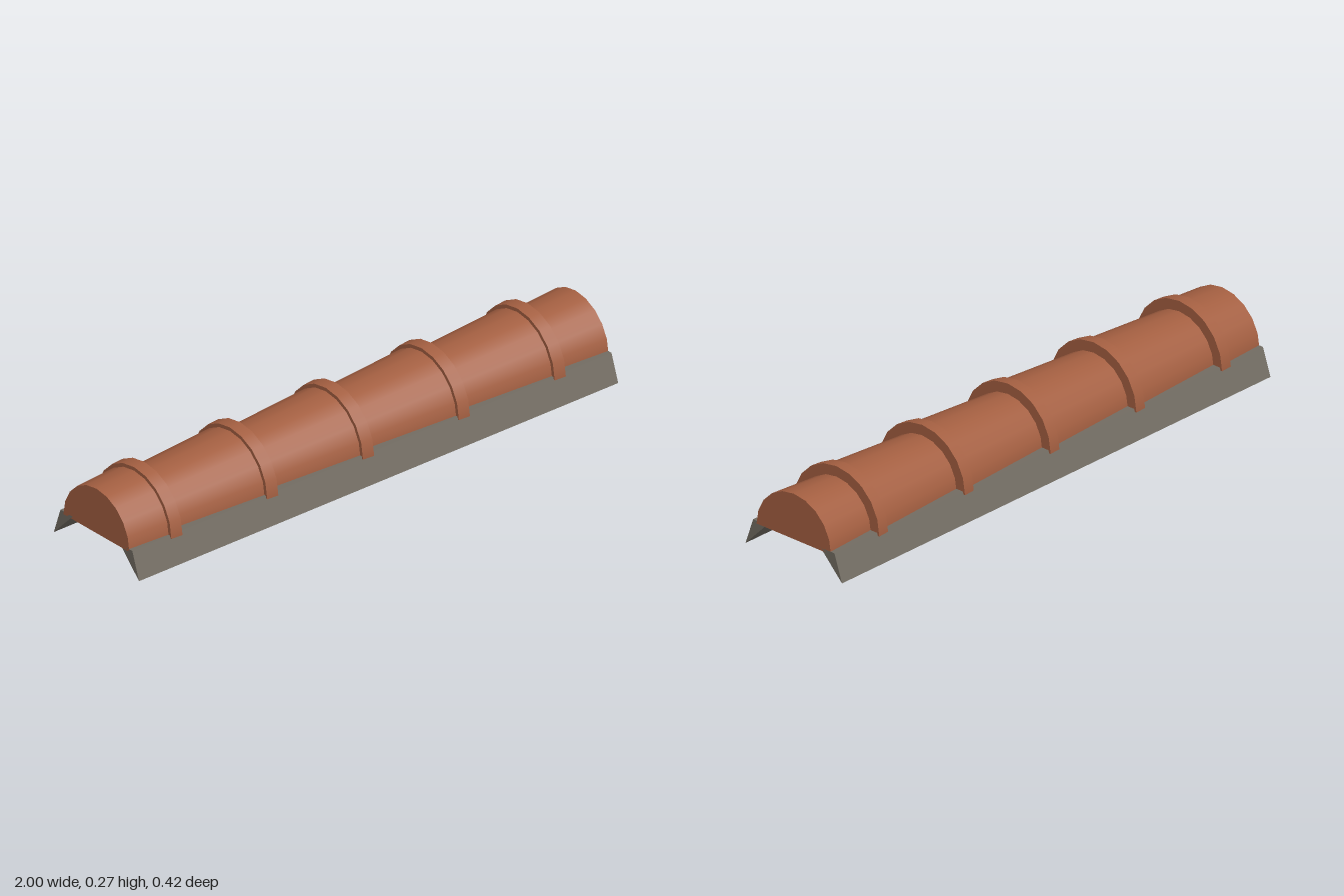
import * as THREE from 'three';

const BASE_Y = 0.086;

export function createModel() {
  const clay = new THREE.MeshStandardMaterial({ color: 0xa45f41 });
  clay.name = 'terracotta';
  const mortar = new THREE.MeshStandardMaterial({ color: 0x726c62 });
  mortar.name = 'grey mortar';

  const model = new THREE.Group();
  model.name = 'roofRidge';

  // Closed half cone lying along x, radius r0 at x0 and r1 at x1
  function halfCone(name, x0, x1, r0, r1) {
    const part = new THREE.Group();
    part.name = name;
    const shell = new THREE.CylinderGeometry(r1, r0, x1 - x0, 10, 1, false, Math.PI, Math.PI);
    shell.rotateZ(-Math.PI / 2).translate((x0 + x1) / 2, 0, 0);
    // Flat underside
    const outline = new THREE.Shape([
      new THREE.Vector2(x0, -r0), new THREE.Vector2(x1, -r1),
      new THREE.Vector2(x1, r1), new THREE.Vector2(x0, r0),
    ]);
    const under = new THREE.ShapeGeometry(outline).rotateX(Math.PI / 2);
    for (const [label, geometry] of [['Shell', shell], ['Underside', under]]) {
      const mesh = new THREE.Mesh(geometry, clay);
      mesh.name = name + label;
      part.add(mesh);
    }
    part.position.y = BASE_Y;
    model.add(part);
  }

  // Tapered tiles, cut off at both ends of the ridge, each with a raised collar
  const pitch = 0.4, rSmall = 0.15, rLarge = 0.174;
  for (let i = 0; i < 6; i++) {
    const start = -1.2 + i * pitch;
    const x0 = Math.max(start, -1), x1 = Math.min(start + pitch, 1);
    const radius = x => rSmall + (rLarge - rSmall) * (x - start) / pitch;
    halfCone('ridgeTile', x0, x1, radius(x0), radius(x1));
    if (i < 5) halfCone('tileCollar', x1 - 0.043, x1 + 0.001, 0.184, 0.187);
  }

  // Mortar wedge along each side
  for (const side of [1, -1]) {
    const section = new THREE.Shape([
      new THREE.Vector2(side * 0.21, 0),
      new THREE.Vector2(side * 0.177, 0.096),
      new THREE.Vector2(side * 0.117, 0.096),
    ]);
    const geometry = new THREE.ExtrudeGeometry(section, { depth: 2, bevelEnabled: false });
    geometry.translate(0, 0, -1).rotateY(Math.PI / 2);
    const wedge = new THREE.Mesh(geometry, mortar);
    wedge.name = side > 0 ? 'backMortarWedge' : 'frontMortarWedge';
    model.add(wedge);
  }
  return model;
}
